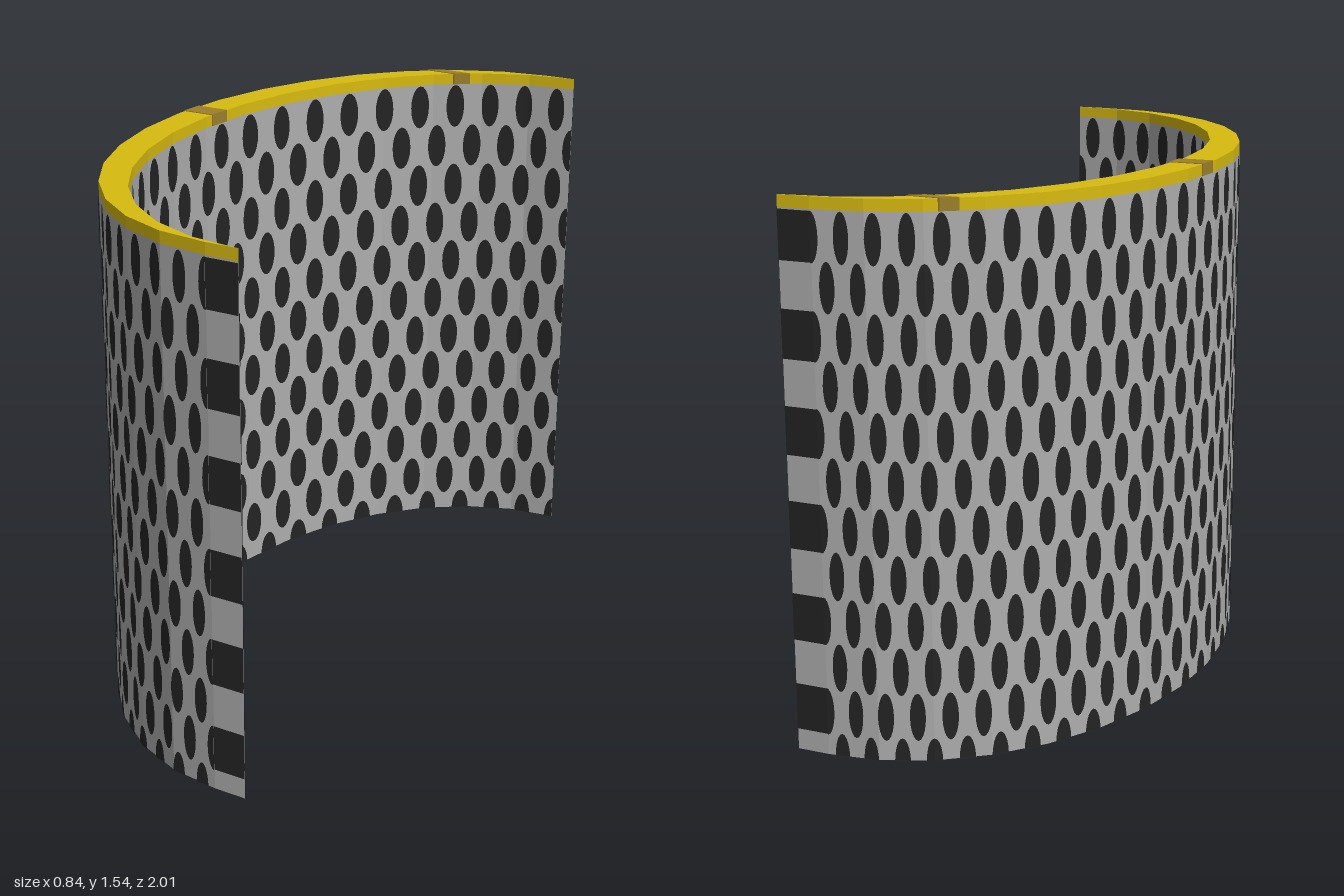
import * as THREE from 'three';

const A = 0.745, SEG = 8, TOP = 1.51, HEIGHT = 1.545;
const OUTER = 0.325, INNER = 0.42; // x centre of the two half ellipses
const ROW = 0.1308, RY = 0.069;

const mat = (name, color, extra = {}) => {
  const m = new THREE.MeshStandardMaterial({ color, ...extra });
  m.name = name;
  return m;
};

// Point on a faceted half ellipse; t runs from -8 to 8, one unit per facet
function arc(t, cx, offset = 0) {
  const i = Math.min(SEG - 1, Math.max(-SEG, Math.floor(t)));
  const step = Math.PI / 2 / SEG, a = i * step, b = a + step, f = t - i;
  const x = cx - A * (Math.cos(a) * (1 - f) + Math.cos(b) * f);
  const z = Math.sin(a) * (1 - f) + Math.sin(b) * f;
  const m = (i + 0.5) * step;
  const n = new THREE.Vector2(-Math.cos(m), A * Math.sin(m)).normalize();
  return [x + n.x * offset, z + n.y * offset];
}

// Crescent-shaped slab between two arc positions
function crescent(t0, t1, y0, y1, grow = 0) {
  const ts = [t0];
  for (let t = Math.floor(t0) + 1; t < t1; t++) ts.push(t);
  ts.push(t1);
  const outer = ts.map(t => arc(t, OUTER, grow));
  const inner = ts.map(t => arc(t, INNER, -grow)).reverse();
  const shape = new THREE.Shape([...outer, ...inner].map(([x, z]) => new THREE.Vector2(x, -z)));
  const g = new THREE.ExtrudeGeometry(shape, { depth: y1 - y0, bevelEnabled: false });
  return g.rotateX(-Math.PI / 2).translate(0, y0, 0);
}

function quads(list) {
  const pos = [];
  for (const [a, b, c, d] of list) pos.push(...a, ...b, ...c, ...a, ...c, ...d);
  const g = new THREE.BufferGeometry();
  g.setAttribute('position', new THREE.Float32BufferAttribute(pos, 3));
  g.computeVertexNormals();
  return g;
}

// Staggered oval openings painted over one face of the wall
function ovals(cx, columns, offset, phase) {
  const list = [], pitch = 2 * SEG / columns, rx = pitch * 0.25, N = 10;
  for (let r = 0; r <= 11; r++) {
    const shift = (r + phase) % 2 ? 0.5 : 0;
    for (let k = 0; k <= columns; k++) {
      const t = -SEG + (k + shift) * pitch;
      if (t > SEG + 0.01) continue;
      const point = (j, s) => {
        const c = Math.cos(Math.PI * (1 - j / N));
        const tt = Math.min(SEG, Math.max(-SEG, t + rx * c));
        const y = r * ROW + s * RY * Math.sin(Math.PI * j / N);
        const [x, z] = arc(tt, cx, offset);
        return [x, Math.min(TOP, Math.max(0.003, y)), z];
      };
      for (let j = 0; j < N; j++) {
        list.push([point(j, -1), point(j + 1, -1), point(j + 1, 1), point(j, 1)]);
      }
    }
  }
  return quads(list);
}

export function createModel() {
  const grey = mat('meshGrey', 0xaeaeae);
  const dark = mat('openingDark', 0x242424, { side: THREE.DoubleSide });
  const yellow = mat('railYellow', 0xd8bb10);
  const brown = mat('wornBrown', 0x9c8028);

  const group = new THREE.Group();
  const add = (name, geometry, material) => {
    const m = new THREE.Mesh(geometry, material);
    m.name = name;
    group.add(m);
  };

  add('curvedWall', crescent(-SEG, SEG, 0.003, TOP), grey);
  add('topRail', crescent(-SEG, SEG, TOP, HEIGHT - 0.002), yellow);

  // Worn patches wrapped over the rail
  for (const [a, b] of [[-0.51, -0.15], [-5.74, -5.42]]) {
    add('wornPatch', crescent(a, b, TOP, HEIGHT, 0.003), brown);
  }

  // Openings on both faces
  add('outerOpenings', ovals(OUTER, 28, 0.003, 1), dark);
  add('innerOpenings', ovals(INNER, 22, -0.003, 0), dark);

  // Stretched openings on the flat ends
  const ends = [];
  for (const z of [-1.002, 1.002]) {
    for (let r = 1; r <= 11; r += 2) {
      const lo = r * ROW - 0.067, hi = r * ROW + 0.067;
      ends.push([[OUTER, lo, z], [INNER, lo, z], [INNER, hi, z], [OUTER, hi, z]]);
    }
  }
  add('endOpenings', quads(ends), dark);

  // Stripes under the wall
  const stripes = [];
  const pitch = 2 * SEG / 28;
  for (let k = 0; k < 28; k++) {
    const a = -SEG + (k + 0.22) * pitch, b = a + pitch * 0.56;
    const p = (t, cx) => { const [x, z] = arc(t, cx); return [x, 0, z]; };
    stripes.push([p(a, OUTER), p(a, INNER), p(b, INNER), p(b, OUTER)]);
  }
  add('undersideStripes', quads(stripes), dark);

  return group;
}
